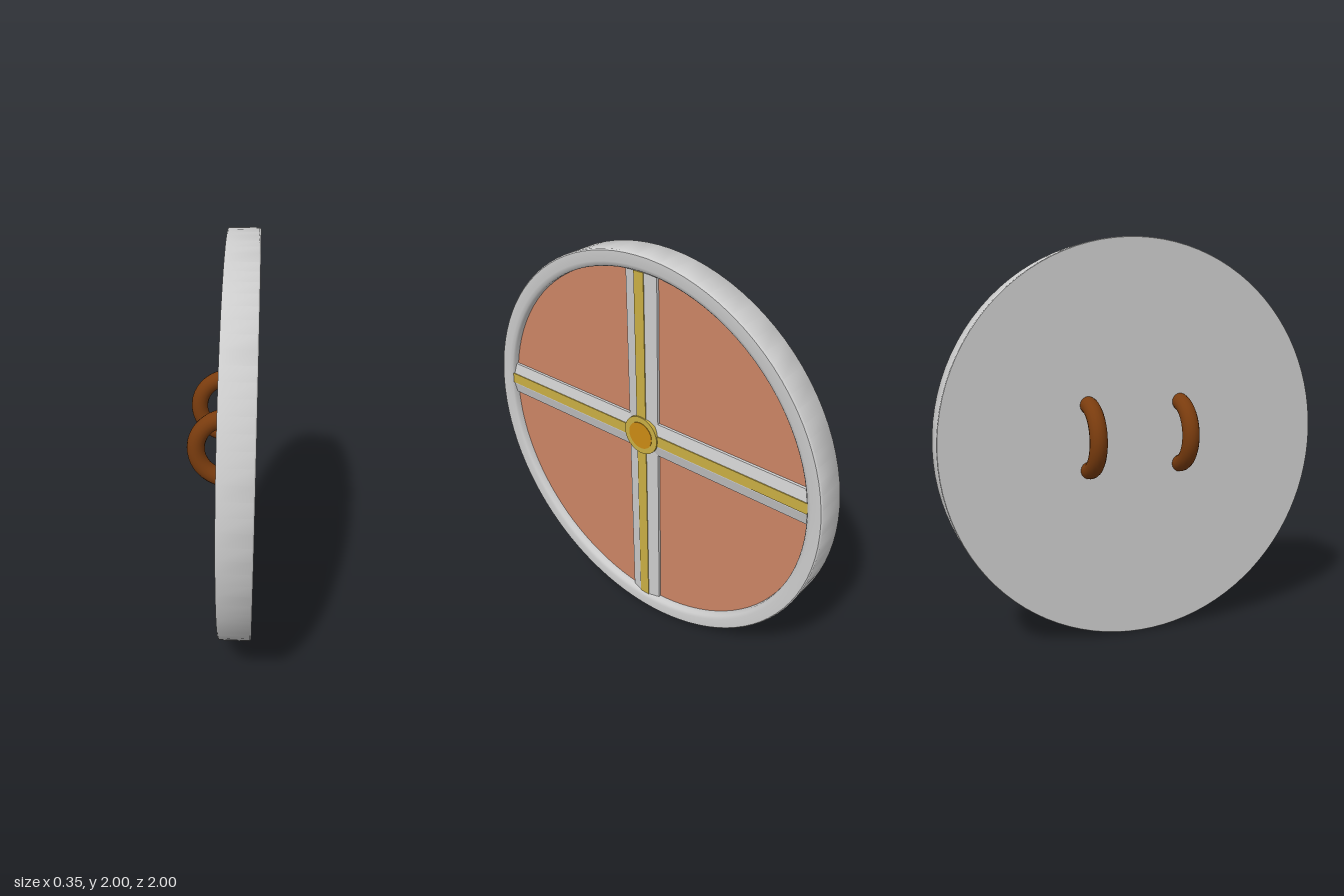
import * as THREE from 'three';
import { toCreasedNormals } from 'three/addons/utils/BufferGeometryUtils.js';

const mat = (color) => new THREE.MeshStandardMaterial({ color });
const GREY = mat(0xcccccc), COPPER = mat(0xcc8465), GOLD = mat(0xc9ae44);
const AMBER = mat(0xca8a14), LEATHER = mat(0x7a3c0e);

const BACK = 0.015, FRONT = 0.167, PANEL = 0.128; // depths through the shield
const CROSS_Y = 0.095; // height of the crossing above the shield's centre

function add(parent, name, geometry, material, x = 0, y = 0, z = 0) {
  const mesh = new THREE.Mesh(geometry, material);
  mesh.name = name;
  mesh.position.set(x, y, z);
  parent.add(mesh);
  return mesh;
}

// Ridged bar running along y, rising towards +z
function barGeometry(length) {
  const profile = new THREE.Shape([
    [-0.09, -0.01], [0.09, -0.01], [0.088, 0.012], [0.03, 0.026], [-0.03, 0.026], [-0.088, 0.012],
  ].map(([x, y]) => new THREE.Vector2(x, y)));
  const g = new THREE.ExtrudeGeometry(profile, { depth: length, bevelEnabled: false });
  return g.translate(0, 0, -length / 2).rotateX(Math.PI / 2);
}

// Disc facing +z
const discGeometry = (radius, depth) =>
  new THREE.CylinderGeometry(radius, radius, depth, 40).rotateX(Math.PI / 2);

export function createModel() {
  const model = new THREE.Group();
  const shield = new THREE.Group();
  shield.name = 'shield';

  // Solid back, side wall and raised rim, turned as one piece
  const profile = [
    [0, BACK], [0.997, BACK], [1, BACK + 0.004], [1, FRONT - 0.006], [0.994, FRONT],
    [0.945, FRONT], [0.928, FRONT - 0.005], [0.92, FRONT - 0.014], [0.92, PANEL - 0.01],
  ].map(([r, h]) => new THREE.Vector2(r, h));
  const body = new THREE.LatheGeometry(profile, 96).rotateX(Math.PI / 2);
  add(shield, 'rimAndBack', toCreasedNormals(body, Math.PI / 4), GREY);

  // Recessed front panel
  add(shield, 'frontPanel', new THREE.CircleGeometry(0.925, 96), COPPER, 0, 0, PANEL);

  // Crossed bars with a strip along each ridge
  const strip = () => new THREE.BoxGeometry(0.055, 1.84, 0.02);
  add(shield, 'verticalBar', barGeometry(1.85), GREY, 0, 0, PANEL);
  add(shield, 'verticalStrip', strip(), GOLD, 0, 0, PANEL + 0.02);
  add(shield, 'horizontalBar', barGeometry(1.85).rotateZ(Math.PI / 2), GREY, 0, CROSS_Y, PANEL);
  add(shield, 'horizontalStrip', strip().rotateZ(Math.PI / 2), GOLD, 0, CROSS_Y + 0.005, PANEL + 0.02);

  // Round boss over the crossing
  add(shield, 'bossRing', discGeometry(0.1, 0.04), GOLD, 0, CROSS_Y + 0.005, PANEL + 0.016);
  add(shield, 'bossCentre', discGeometry(0.07, 0.04), AMBER, 0, CROSS_Y + 0.005, PANEL + 0.019);

  // Two half-ring grips on the back
  for (const [x, z] of [[0.27, 0.03], [-0.22, 0.045]]) {
    const grip = new THREE.TorusGeometry(0.162, 0.043, 16, 32, Math.PI)
      .rotateX(-Math.PI / 2).rotateZ(Math.PI / 2);
    add(shield, 'grip', grip, LEATHER, x, 0.03, z);
  }

  // Stand the shield facing +x, leaning very slightly
  shield.rotation.y = Math.PI / 2;
  model.add(shield);
  model.rotation.z = -0.005;
  model.position.y = 1;
  const root = new THREE.Group();
  root.add(model);
  return root;
}
